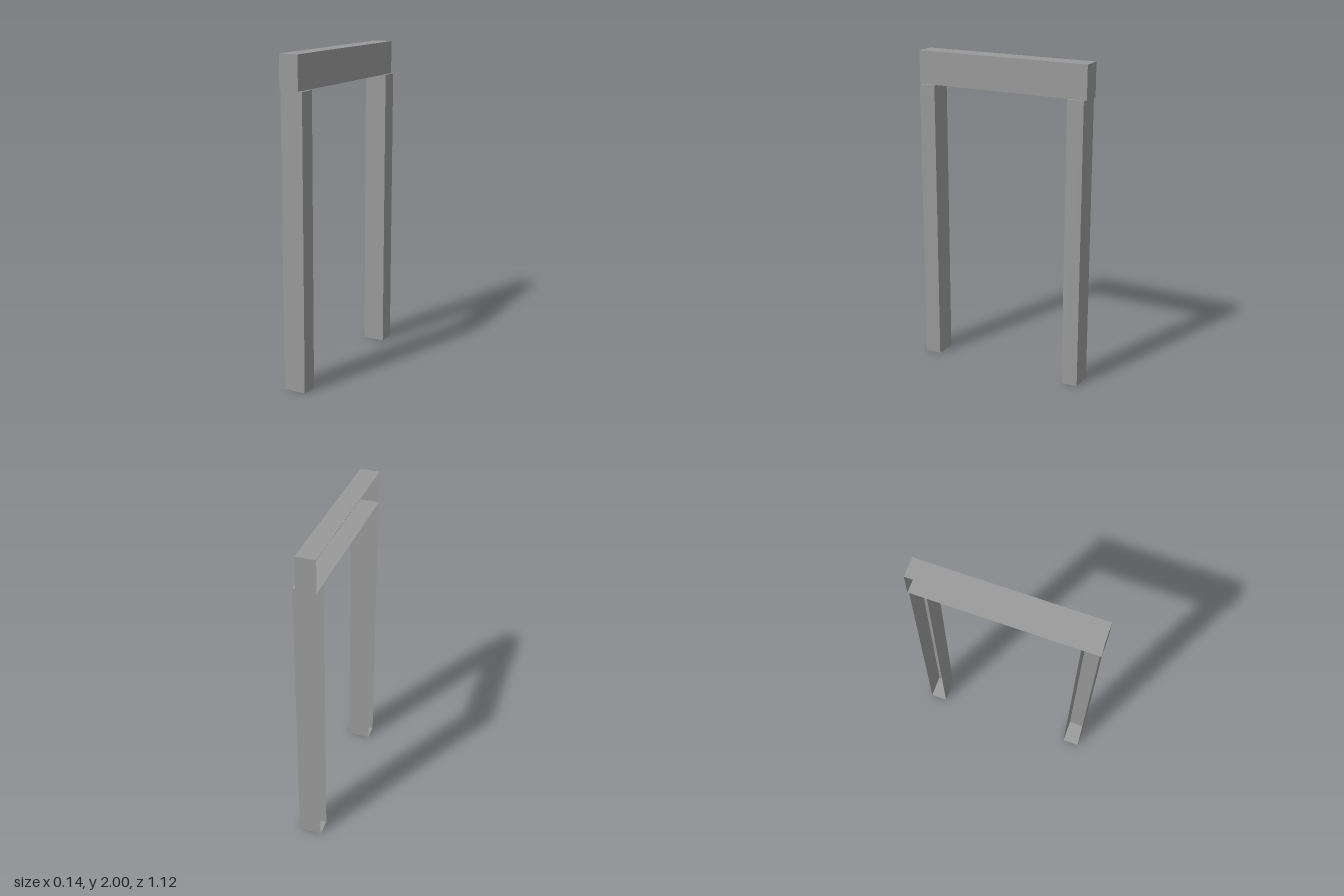
import * as THREE from 'three';

// Box between two corners, left open on its wall side (-x)
function openBox(name, min, max, material) {
  const size = max.map((v, i) => v - min[i]);
  const geometry = new THREE.BoxGeometry(...size);
  const index = Array.from(geometry.index.array);
  index.splice(6, 6); // the second face of a box is -x
  geometry.setIndex(index);
  geometry.clearGroups();
  geometry.translate(...max.map((v, i) => (v + min[i]) / 2));
  const mesh = new THREE.Mesh(geometry, material);
  mesh.name = name;
  return mesh;
}

export function createModel() {
  const group = new THREE.Group();
  group.name = 'doorFrame';
  const grey = new THREE.MeshStandardMaterial({ color: 0x999999, side: THREE.DoubleSide });
  grey.name = 'grey';

  // Lintel, slightly shallower and wider than the posts
  group.add(openBox('lintel', [-0.072, 1.795, -0.56], [0.05, 2, 0.56], grey));

  // Two upright posts
  group.add(openBox('frontPost', [-0.072, 0, 0.445], [0.07, 1.795, 0.55], grey));
  group.add(openBox('backPost', [-0.072, 0, -0.55], [0.07, 1.795, -0.445], grey));
  return group;
}
